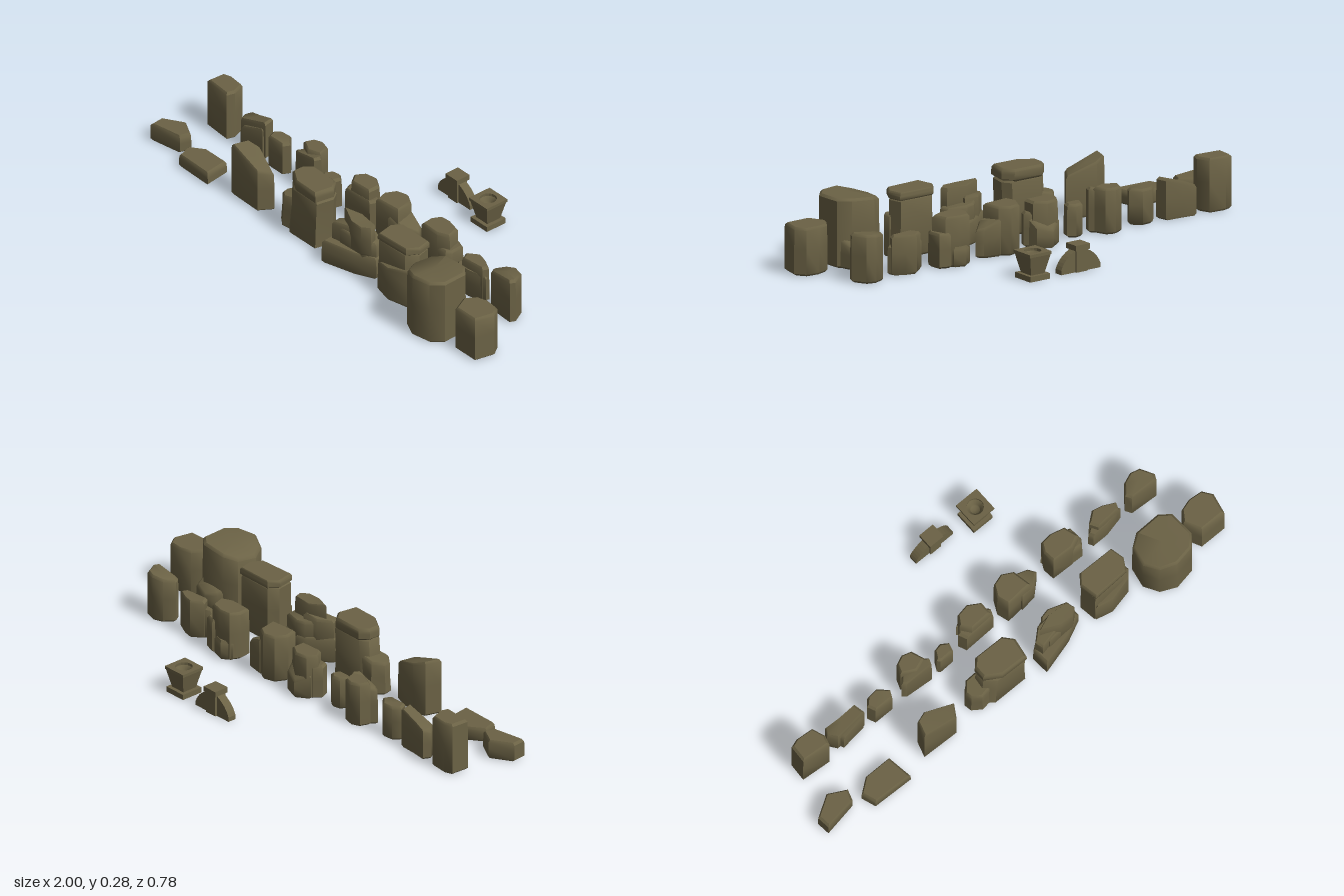
import * as THREE from 'three';
import { toCreasedNormals } from 'three/addons/utils/BufferGeometryUtils.js';

const stone = new THREE.MeshStandardMaterial({ color: 0x6b6245 });
stone.name = 'mossy stone';

// Soft-edged boulder: footprint (clockwise from above) lofted up to a top height rule
function rockGeometry(foot, top, { base = 0, flare = 1, lean = 0, bevel = 0.012 } = {}) {
  const n = foot.length;
  const cx = foot.reduce((s, p) => s + p[0], 0) / n;
  const cz = foot.reduce((s, p) => s + p[1], 0) / n;
  const size = Math.max(...foot.map(p => Math.hypot(p[0] - cx, p[1] - cz)));
  const inset = 1 - bevel / size;
  // rings: [share of height, offset in y, scale]
  const rings = [[0, 0, inset * flare], [0, bevel * 0.7, flare], [0.55, 0, 1], [1, -bevel * 0.8, 0.99], [1, 0, inset]];
  const pts = rings.map(([t, dy, s]) => foot.map(([x, z]) => {
    const px = cx + (x - cx) * s, pz = cz + (z - cz) * s;
    return [px + lean * (t - 1), base + (top(px, pz) - base) * t + dy, pz];
  }));
  const pos = [];
  const tri = (a, b, c) => pos.push(...a, ...b, ...c);
  const low = [cx - lean, base, cz], high = [cx, top(cx, cz), cz];
  for (let i = 0; i < n; i++) {
    const j = (i + 1) % n;
    for (let r = 0; r < rings.length - 1; r++) {
      tri(pts[r][i], pts[r + 1][i], pts[r + 1][j]);
      tri(pts[r][i], pts[r + 1][j], pts[r][j]);
    }
    tri(low, pts[0][i], pts[0][j]);
    tri(high, pts[4][j], pts[4][i]);
  }
  const g = new THREE.BufferGeometry();
  g.setAttribute('position', new THREE.Float32BufferAttribute(pos, 3));
  return toCreasedNormals(g, 0.75);
}

// Top rules: level, or sloping along x between two heights and clamped
const flat = h => () => h;
const slope = (x0, h0, x1, h1) => x => h0 + (h1 - h0) * THREE.MathUtils.clamp((x - x0) / (x1 - x0), 0, 1);
// Slope along z
const slopeZ = (z0, h0, z1, h1) => (x, z) => slope(z0, h0, z1, h1)(z);

export function createModel() {
  const model = new THREE.Group();
  model.name = 'standing stones';
  const add = (parent, name, geometry, x = 0, y = 0, z = 0) => {
    const m = new THREE.Mesh(geometry, stone);
    m.name = name;
    m.position.set(x, y, z);
    parent.add(m);
    return m;
  };
  const cluster = (name, ...rocks) => {
    const g = new THREE.Group();
    g.name = name;
    rocks.forEach(([part, foot, top, opts]) => add(g, part, rockGeometry(foot, top, opts)));
    model.add(g);
  };

  // Front row, right to left
  cluster('lowFrontBoulder', ['boulder', [[-1, 0.22], [-0.91, 0.165], [-0.835, 0.205], [-0.85, 0.25], [-0.995, 0.275]], flat(0.08)]);
  cluster('flatFrontBoulder', ['boulder', [[-0.805, 0.25], [-0.745, 0.205], [-0.625, 0.205], [-0.61, 0.315], [-0.785, 0.31]], flat(0.058)]);
  cluster('slantedSlab', ['slab', [[-0.51, 0.28], [-0.49, 0.215], [-0.44, 0.195], [-0.315, 0.23], [-0.35, 0.285]], slope(-0.48, 0.235, -0.32, 0.172)]);
  cluster('cappedPillar',
    ['pillar', [[-0.18, 0.2], [-0.15, 0.175], [-0.01, 0.175], [0.015, 0.21], [0, 0.285], [-0.14, 0.285], [-0.185, 0.25]], flat(0.22), { flare: 1.08, lean: 0.012 }],
    ['capstone', [[-0.185, 0.2], [-0.155, 0.168], [-0.02, 0.17], [0.014, 0.21], [0, 0.293], [-0.12, 0.29], [-0.185, 0.25]], flat(0.265), { base: 0.215 }],
    ['sideStone', [[-0.25, 0.22], [-0.215, 0.18], [-0.15, 0.18], [-0.15, 0.265], [-0.21, 0.275], [-0.245, 0.25]], slope(-0.25, 0.135, -0.16, 0.15), { flare: 1.1 }]);
  cluster('steppedOutcrop',
    ['base', [[0.07, 0.25], [0.16, 0.18], [0.2, 0.165], [0.3, 0.19], [0.305, 0.245], [0.22, 0.285], [0.075, 0.325]], slope(0.07, 0.105, 0.3, 0.095)],
    ['leftShelf', [[0.08, 0.25], [0.13, 0.205], [0.2, 0.2], [0.2, 0.26], [0.09, 0.285]], slope(0.09, 0.18, 0.2, 0.19), { base: 0.06 }],
    ['middle', [[0.11, 0.24], [0.17, 0.18], [0.21, 0.17], [0.29, 0.195], [0.295, 0.235], [0.25, 0.27], [0.13, 0.28]], slope(0.11, 0.17, 0.29, 0.155), { base: 0.06 }],
    ['peak', [[0.11, 0.24], [0.18, 0.21], [0.27, 0.22], [0.28, 0.25], [0.25, 0.275], [0.19, 0.275]], slope(0.12, 0.24, 0.2, 0.228), { base: 0.1, bevel: 0.008 }]);
  cluster('cappedBlock',
    ['block', [[0.35, 0.21], [0.38, 0.175], [0.53, 0.175], [0.545, 0.23], [0.51, 0.275], [0.36, 0.28]], flat(0.238), { flare: 1.03 }],
    ['capstone', [[0.345, 0.21], [0.375, 0.17], [0.535, 0.172], [0.548, 0.23], [0.52, 0.278], [0.36, 0.285]], flat(0.266), { base: 0.233, bevel: 0.008 }],
    ['frontWedge', [[0.4, 0.25], [0.55, 0.22], [0.555, 0.25], [0.53, 0.28], [0.43, 0.302], [0.36, 0.285]], slope(0.38, 0.135, 0.55, 0.172)]);
  cluster('greatStone',
    ['drum', [[0.585, 0.3], [0.6, 0.22], [0.65, 0.185], [0.76, 0.185], [0.805, 0.22], [0.81, 0.33], [0.77, 0.375], [0.685, 0.39], [0.62, 0.36]], slope(0.585, 0.25, 0.69, 0.278)],
    ['backStone', [[0.635, 0.21], [0.66, 0.165], [0.71, 0.145], [0.78, 0.165], [0.795, 0.21], [0.7, 0.23]], slopeZ(0.15, 0.09, 0.19, 0.116)]);
  cluster('leftEndStone', ['stone', [[0.83, 0.255], [0.86, 0.21], [0.91, 0.195], [0.97, 0.2], [0.998, 0.24], [0.98, 0.325], [0.865, 0.325]], flat(0.194)]);

  // Back row, right to left
  cluster('uprightStone', ['stone', [[-0.925, 0.045], [-0.92, -0.03], [-0.885, -0.042], [-0.81, -0.035], [-0.79, 0.02], [-0.8, 0.055]], flat(0.218)]);
  cluster('slopingStone',
    ['tall', [[-0.765, 0], [-0.75, -0.03], [-0.69, -0.022], [-0.61, -0.018], [-0.6, 0.03], [-0.74, 0.035]], slope(-0.76, 0.12, -0.61, 0.168)],
    ['front', [[-0.735, 0.01], [-0.605, 0.005], [-0.61, 0.035], [-0.72, 0.048]], slope(-0.74, 0.1, -0.61, 0.14)]);
  cluster('smallStone', ['stone', [[-0.575, 0.015], [-0.55, -0.012], [-0.5, -0.017], [-0.46, 0.02], [-0.475, 0.05], [-0.56, 0.05]], flat(0.145)]);
  cluster('humpStone',
    ['rear', [[-0.4, 0.01], [-0.385, -0.03], [-0.345, -0.047], [-0.305, -0.035], [-0.285, 0.02], [-0.34, 0.04]], flat(0.185)],
    ['front', [[-0.415, 0.035], [-0.385, 0], [-0.3, 0], [-0.27, 0.03], [-0.28, 0.057], [-0.4, 0.048]], slope(-0.41, 0.15, -0.28, 0.18)]);
  cluster('littleStone', ['stone', [[-0.245, 0.045], [-0.225, 0.008], [-0.19, 0], [-0.16, 0.02], [-0.17, 0.055], [-0.235, 0.057]], flat(0.135)]);
  cluster('tripleStone',
    ['core', [[-0.1, 0.01], [-0.075, -0.03], [-0.02, -0.04], [0.03, -0.01], [0.03, 0.045], [-0.07, 0.05]], flat(0.185)],
    ['rear', [[-0.09, -0.02], [-0.035, -0.058], [0.03, -0.035], [0.04, 0], [-0.06, 0.005]], slopeZ(-0.055, 0.075, 0, 0.12)],
    ['front', [[-0.115, 0.02], [-0.09, -0.01], [0.03, -0.005], [0.052, 0.02], [0.04, 0.05], [-0.1, 0.055]], flat(0.14)]);
  cluster('doubleStone',
    ['tall', [[0.085, 0.02], [0.11, -0.03], [0.16, -0.045], [0.205, -0.02], [0.22, 0.06], [0.1, 0.07]], flat(0.198)],
    ['low', [[0.16, 0], [0.2, -0.028], [0.27, -0.015], [0.292, 0.012], [0.24, 0.06], [0.17, 0.07]], slope(0.2, 0.15, 0.29, 0.11)]);
  cluster('ridgeStone',
    ['tall', [[0.34, 0], [0.36, -0.04], [0.41, -0.045], [0.47, -0.03], [0.49, 0.03], [0.44, 0.053], [0.345, 0.05]], flat(0.203)],
    ['rear', [[0.35, -0.03], [0.39, -0.06], [0.44, -0.045], [0.45, 0], [0.37, 0]], flat(0.08)],
    ['side', [[0.42, -0.01], [0.455, -0.045], [0.5, -0.03], [0.505, 0.03], [0.49, 0.053], [0.42, 0.05]], flat(0.14)]);
  cluster('lowStone',
    ['stone', [[0.56, 0.01], [0.605, -0.025], [0.65, -0.015], [0.7, 0.01], [0.69, 0.035], [0.58, 0.045]], flat(0.158)],
    ['front', [[0.54, 0.03], [0.57, 0.01], [0.695, 0.01], [0.705, 0.03], [0.62, 0.05], [0.55, 0.05]], flat(0.12)]);
  cluster('leftBackStone', ['stone', [[0.735, 0.02], [0.765, -0.02], [0.81, -0.036], [0.85, -0.025], [0.88, 0.03], [0.87, 0.052], [0.75, 0.045]], slope(0.74, 0.18, 0.82, 0.196)]);

  // Square flared planter with a round basin
  const planter = new THREE.Group();
  planter.name = 'planter';
  planter.position.set(0.285, 0, -0.342);
  model.add(planter);
  add(planter, 'plinth', new THREE.BoxGeometry(0.096, 0.022, 0.096), 0, 0.011, 0);
  const body = new THREE.CylinderGeometry(0.0742, 0.046, 0.089, 4, 1, true).toNonIndexed();
  body.rotateY(Math.PI / 4);
  body.computeVertexNormals();
  add(planter, 'flaredBody', body, 0, 0.0665, 0);
  const rim = new THREE.Shape([[-1, -1], [1, -1], [1, 1], [-1, 1]].map(([x, y]) => new THREE.Vector2(x * 0.0525, y * 0.0525)));
  rim.holes.push(new THREE.Path().absarc(0, 0, 0.034, 0, Math.PI * 2, true));
  const rimGeo = new THREE.ExtrudeGeometry(rim, { depth: 0.012, bevelEnabled: false, curveSegments: 8 });
  add(planter, 'rim', rimGeo.rotateX(-Math.PI / 2), 0, 0.099, 0);
  const bowl = [[0, 0.07], [0.018, 0.07], [0.02, 0.085], [0.034, 0.1]].map(p => new THREE.Vector2(...p));
  const bowlGeo = new THREE.LatheGeometry(bowl.reverse(), 16);
  // Lathe runs rim to centre so that its inside faces up
  add(planter, 'basin', bowlGeo);

  // Small post with a curved buttress on either side
  const post = new THREE.Group();
  post.name = 'buttressedPost';
  post.position.set(0.08, 0, -0.362);
  model.add(post);
  add(post, 'post', new THREE.BoxGeometry(0.054, 0.09, 0.052), 0, 0.045, 0);
  add(post, 'cap', new THREE.BoxGeometry(0.068, 0.022, 0.064), 0, 0.099, 0);
  const wing = new THREE.Shape();
  wing.moveTo(0, 0);
  wing.lineTo(0.055, 0);
  wing.lineTo(0.095, 0);
  wing.lineTo(0.095, 0.018);
  wing.quadraticCurveTo(0.08, 0.06, 0.03, 0.085);
  wing.lineTo(0, 0.085);
  const wingGeo = new THREE.ExtrudeGeometry(wing, { depth: 0.036, bevelEnabled: false, curveSegments: 6 });
  wingGeo.translate(0, 0, -0.018);
  add(post, 'leftButtress', wingGeo);
  add(post, 'rightButtress', wingGeo).rotation.y = Math.PI;
  return model;
}
